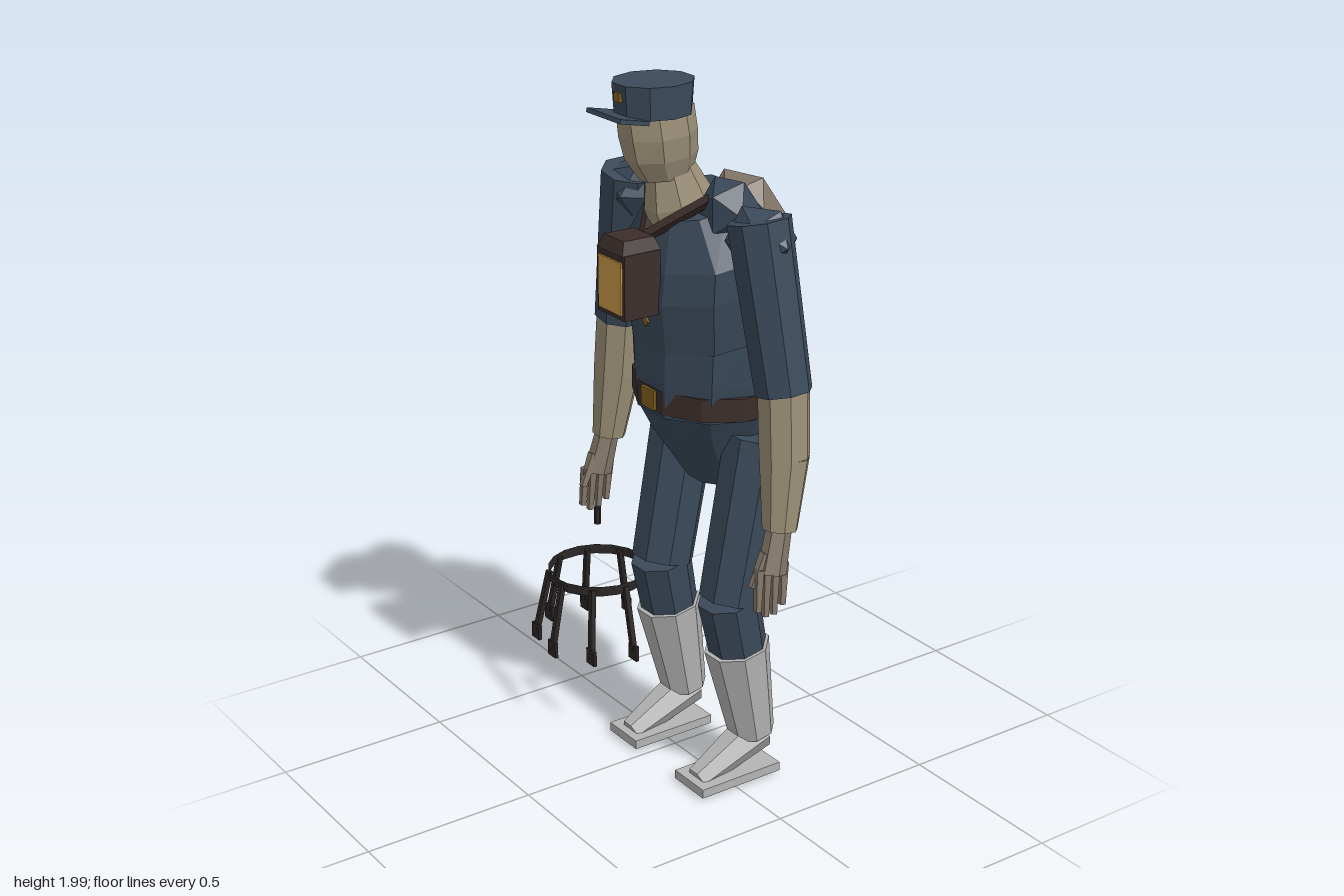
import * as THREE from 'three';

const paint = (name, color) => Object.assign(new THREE.MeshStandardMaterial({ color }), { name });

export function createModel() {
  const navy = paint('navy cloth', 0x3a4959);
  const skin = paint('skin', 0x9c9178);
  const hands = paint('hand skin', 0x85786a);
  const boots = paint('boot grey', 0xb4b4b4);
  const leather = paint('dark leather', 0x3b2e2b);
  const iron = paint('dark iron', 0x2c2626);
  const gold = paint('lamp glow', 0xcb9a48);
  const brass = paint('brass', 0x84601f);
  const pack = paint('bundle brown', 0x83766a);
  const ringIron = paint('ring iron', 0x2c2626);
  ringIron.side = THREE.DoubleSide;

  const model = new THREE.Group();
  const body = new THREE.Group();
  body.name = 'watchman';
  body.position.x = 0.073;
  model.add(body);

  // Adds a faceted mesh
  function add(parent, name, geometry, material) {
    const g = geometry.index ? geometry.toNonIndexed() : geometry;
    g.computeVertexNormals();
    const mesh = new THREE.Mesh(g, material);
    mesh.name = name;
    parent.add(mesh);
    return mesh;
  }

  // Stacked elliptical rings, top first: [y, z, rx, rz, forward slope]
  function loft(name, rings, sides, material) {
    const g = new THREE.CylinderGeometry(1, 1, 1, sides, rings.length - 1, false, Math.PI / sides);
    const p = g.attributes.position;
    const flat = Math.cos(Math.PI / sides);
    for (let i = 0; i < p.count; i++) {
      const [y, z, rx, rz, slope = 0] = rings[Math.round((0.5 - p.getY(i)) * (rings.length - 1))];
      const dz = p.getZ(i) * rz / flat;
      p.setXYZ(i, p.getX(i) * rx, y - slope * dz, z + dz);
    }
    return add(body, name, g, material);
  }

  // Tapered prism between two points
  function limb(parent, name, a, b, ra, rb, sides, material) {
    const va = new THREE.Vector3(...a), vb = new THREE.Vector3(...b);
    const dir = va.clone().sub(vb);
    const g = new THREE.CylinderGeometry(ra, rb, dir.length(), sides, 1, false, Math.PI / sides);
    const mesh = add(parent, name, g, material);
    mesh.quaternion.setFromUnitVectors(new THREE.Vector3(0, 1, 0), dir.normalize());
    mesh.position.copy(va).add(vb).multiplyScalar(0.5);
    return mesh;
  }

  function box(parent, name, size, pos, material, rx = 0) {
    const mesh = add(parent, name, new THREE.BoxGeometry(...size), material);
    mesh.position.set(...pos);
    mesh.rotation.x = rx;
    return mesh;
  }

  function blob(name, pos, scale, material, turn = 0) {
    const g = new THREE.IcosahedronGeometry(1, 0).rotateY(turn).scale(...scale);
    add(body, name, g, material).position.set(...pos);
  }

  // Torso
  loft('chest', [
    [1.67, 0, 0.15, 0.1, 0.35], [1.56, -0.04, 0.255, 0.18, 0.3],
    [1.47, -0.045, 0.255, 0.195, 0.25], [1.33, -0.05, 0.24, 0.185, 0.25],
  ], 10, navy);
  loft('abdomen', [[1.34, -0.05, 0.235, 0.185], [1.2, -0.055, 0.225, 0.19], [1.1, -0.06, 0.21, 0.19]], 10, navy);
  loft('belt', [[1.175, -0.065, 0.23, 0.2], [1.11, -0.065, 0.23, 0.2]], 12, leather);
  loft('pelvis', [[1.11, -0.06, 0.205, 0.19], [1.03, -0.075, 0.17, 0.165], [0.87, -0.12, 0.11, 0.105]], 10, navy);
  box(body, 'buckle', [0.06, 0.055, 0.02], [0, 1.143, 0.133], brass);
  const button = box(body, 'button', [0.02, 0.02, 0.012], [0, 1.36, 0.143], brass);
  button.rotation.z = Math.PI / 4;

  // Neck, head and cap
  loft('neck', [[1.77, 0.07, 0.055, 0.06, 0.2], [1.68, 0.045, 0.075, 0.085, 0.3], [1.6, 0.015, 0.085, 0.085, 0.3]], 8, skin);
  loft('head', [[1.93, 0.115, 0.083, 0.1], [1.86, 0.105, 0.087, 0.1, 0.05], [1.8, 0.095, 0.077, 0.095, 0.05], [1.745, 0.08, 0.055, 0.07, 0.1]], 8, skin);
  loft('cap', [[2, 0.12, 0.1, 0.106], [1.915, 0.12, 0.097, 0.1]], 10, navy);
  box(body, 'capBrim', [0.153, 0.012, 0.09], [0, 1.918, 0.228], navy, -0.2);
  box(body, 'capBadge', [0.024, 0.024, 0.01], [0, 1.968, 0.227], brass);

  // Chest lamp on its harness
  box(body, 'lampCase', [0.126, 0.175, 0.112], [0, 1.483, 0.198], leather);
  const lampTop = add(body, 'lampTop', new THREE.CylinderGeometry(0.065, 0.085, 0.035, 4, 1, false, Math.PI / 4), leather);
  lampTop.position.set(0, 1.587, 0.198);
  box(body, 'lampGlass', [0.106, 0.142, 0.008], [0, 1.48, 0.255], gold);

  // Bundle on the upper back
  blob('backBundle', [0.004, 1.61, -0.165], [0.13, 0.118, 0.1], pack, 0.3);

  for (const s of [-1, 1]) {
    const side = s > 0 ? 'left' : 'right';
    limb(body, side + 'HarnessStrap', [s * 0.125, 1.7, 0.03], [0, 1.59, 0.15], 0.016, 0.016, 4, leather);

    // Shoulders and arm
    blob(side + 'ShoulderInner', [s * 0.132, 1.665, -0.025], [0.088, 0.095, 0.085], navy, s * 0.3);
    blob(side + 'ShoulderOuter', [s * 0.28, 1.625, -0.015], [0.107, 0.095, 0.09], navy, s * 0.6);
    limb(body, side + 'UpperArm', [s * 0.285, 1.68, -0.005], [s * 0.373, 1.24, -0.025], 0.085, 0.076, 8, navy);
    limb(body, side + 'ForearmTop', [s * 0.373, 1.25, -0.025], [s * 0.388, 1.07, -0.02], 0.07, 0.068, 8, skin);
    limb(body, side + 'ForearmLower', [s * 0.388, 1.07, -0.02], [s * 0.402, 0.875, 0.002], 0.068, 0.048, 8, skin);

    // Hand
    const palm = limb(body, side + 'Palm', [s * 0.404, 0.885, 0.005], [s * 0.413, 0.76, 0.035], 0.037, 0.043, 6, hands);
    palm.scale.x = 0.75;
    [-0.005, 0.023, 0.05, 0.075].forEach((z, i) => {
      limb(body, side + 'Finger', [s * 0.413, 0.78, z], [s * 0.42, 0.66 - (i % 3 ? 0.015 : -0.005), z + 0.008], 0.016, 0.011, 5, hands);
    });
    limb(body, side + 'Thumb', [s * 0.408, 0.82, 0.05], [s * 0.405, 0.73, 0.09], 0.018, 0.012, 5, hands);

    // Leg
    limb(body, side + 'Thigh', [s * 0.165, 1.035, -0.105], [s * 0.162, 0.575, -0.018], 0.095, 0.089, 8, navy);
    limb(body, side + 'Knee', [s * 0.162, 0.575, -0.012], [s * 0.165, 0.41, -0.045], 0.087, 0.082, 8, navy);

    // Boot
    limb(body, side + 'BootShaft', [s * 0.165, 0.425, -0.04], [s * 0.165, 0.14, -0.095], 0.093, 0.066, 8, boots);
    limb(body, side + 'BootFoot', [s * 0.165, 0.138, -0.115], [s * 0.165, 0.04, 0.092], 0.062, 0.036, 6, boots);
    box(body, side + 'BootSole', [0.134, 0.026, 0.267], [s * 0.165, 0.033, -0.013], boots);
  }

  // Hanging ring with nine tagged rods
  const ring = new THREE.Group();
  ring.name = 'tagRing';
  ring.position.set(-0.337, 0, 0.04);
  model.add(ring);
  const band = add(ring, 'ringBand', new THREE.CylinderGeometry(0.147, 0.147, 0.03, 18, 1, true), ringIron);
  band.position.y = 0.447;
  limb(ring, 'ringHandle', [0, 0.65, 0], [0, 0.597, 0], 0.01, 0.01, 6, iron);
  for (let i = 0; i < 9; i++) {
    const a = i * Math.PI * 2 / 9;
    const x = Math.cos(a), z = Math.sin(a);
    limb(ring, 'rod', [x * 0.143, 0.45, z * 0.143], [x * 0.183, 0.265, z * 0.183], 0.011, 0.011, 4, iron);
    box(ring, 'tag', [0.04, 0.047, 0.01], [x * 0.184, 0.256, z * 0.184], iron);
  }

  // Rest on the ground
  model.position.y = -new THREE.Box3().setFromObject(model, true).min.y;
  return model;
}
